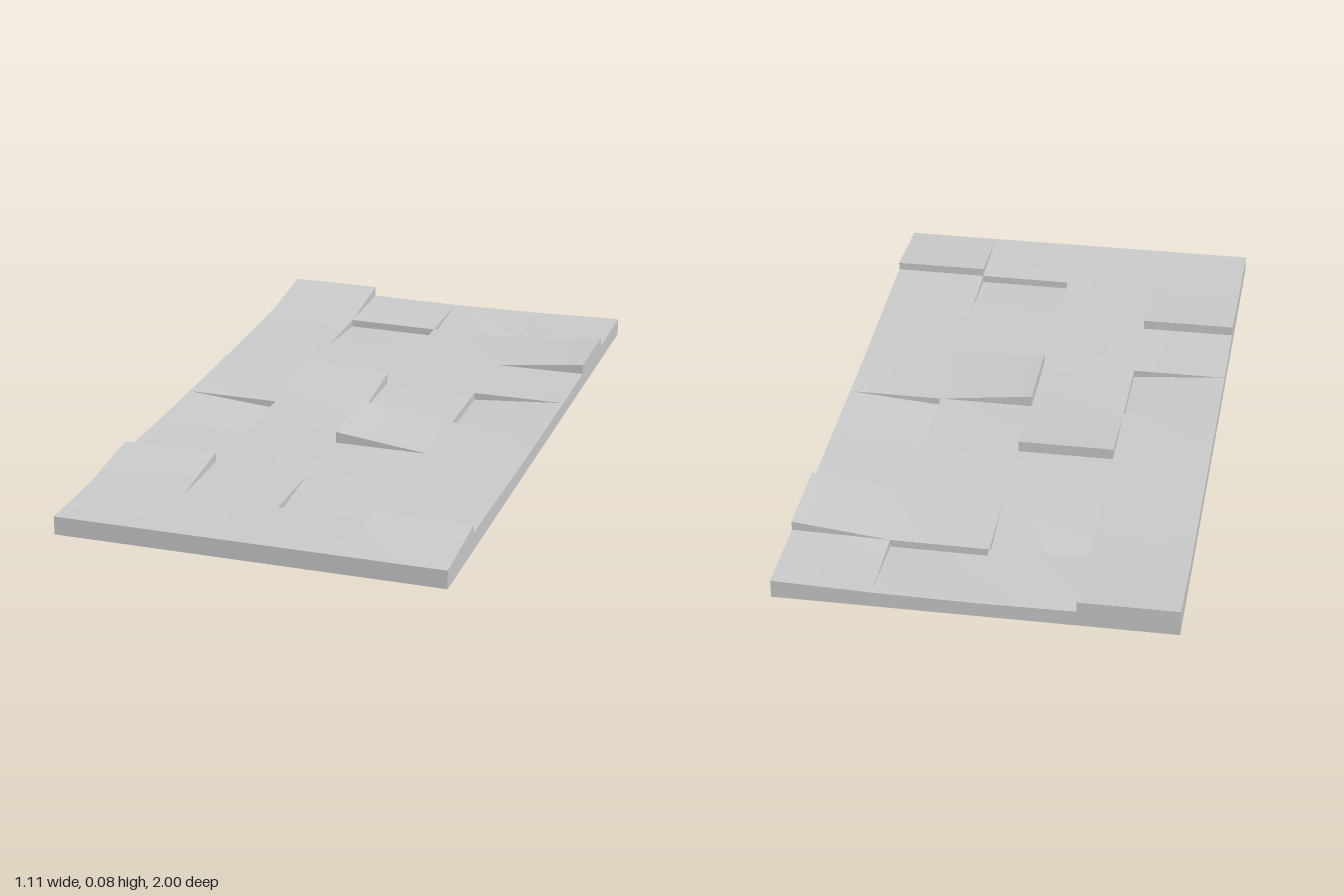
import * as THREE from 'three';
import { toCreasedNormals } from 'three/addons/utils/BufferGeometryUtils.js';

const COLS = 4, ROWS = 8, HALF_W = 0.553, HALF_L = 1;
const TOP = 0.053, RAISED = 0.075, DROP = 0.022;

const gridX = (c) => -HALF_W + (c / COLS) * 2 * HALF_W;
const gridZ = (r) => -HALF_L + (r / ROWS) * 2 * HALF_L;

// Slightly worn, dished surface: the corners and the front edge stay high
function baseHeight(c, r) {
  const x = gridX(c) / HALF_W, z = gridZ(r);
  const fade = Math.min(1, (1 - z) / 0.75);
  return TOP - 0.011 * (1 - x * x * z * z) * fade;
}

// Tilted stones: column, row, the edge that moves, and up (1) or down (-1)
const TILTED = [
  [0, 0, 'back', 1], [2, 0, 'front', -1], [1, 1, 'back', -1], [3, 1, 'right', 1],
  [1, 3, 'back', 1], [3, 3, 'left', -1], [0, 4, 'right', -1], [2, 4, 'left', 1],
  [0, 6, 'back', 1], [2, 6, 'front', -1], [3, 7, 'back', 1],
];

// Corners of a cell run 0 back-left, 1 back-right, 2 front-right, 3 front-left
const CORNERS = [[0, 0], [1, 0], [1, 1], [0, 1]];
const EDGES = { back: [0, 1], right: [1, 2], front: [2, 3], left: [3, 0] };

function cellHeights(c, r) {
  const h = CORNERS.map(([i, j]) => baseHeight(c + i, r + j));
  for (const [tc, tr, edge, dir] of TILTED) {
    if (tc !== c || tr !== r) continue;
    for (const k of EDGES[edge]) h[k] = dir > 0 ? RAISED : h[k] - DROP;
  }
  return h;
}

function makeMesh(name, points, material) {
  const geometry = new THREE.BufferGeometry();
  geometry.setAttribute('position', new THREE.Float32BufferAttribute(points, 3));
  const mesh = new THREE.Mesh(toCreasedNormals(geometry, Math.PI / 6), material);
  mesh.name = name;
  return mesh;
}

// Adds a triangle unless it has collapsed to a line
function addTriangle(out, a, b, c) {
  const [p, q, s] = [a, b, c].map((v) => new THREE.Vector3(...v));
  if (q.sub(p).cross(s.sub(p)).length() > 1e-7) out.push(...a, ...b, ...c);
}

function addQuad(out, a, b, c, d) {
  addTriangle(out, a, b, c);
  addTriangle(out, a, c, d);
}

// Vertical wall from p to q between two heights at each end
function addWall(out, p, q, low, high) {
  addQuad(out, [p[0], low[0], p[1]], [q[0], low[1], q[1]],
    [q[0], high[1], q[1]], [p[0], high[0], p[1]]);
}

export function createModel() {
  const material = new THREE.MeshStandardMaterial({ color: 0xcccccc, side: THREE.DoubleSide });
  const paving = [], steps = [], skirt = [];
  const corner = (c, r, k) => [gridX(c + CORNERS[k][0]), gridZ(r + CORNERS[k][1])];

  for (let c = 0; c < COLS; c++) {
    for (let r = 0; r < ROWS; r++) {
      const h = cellHeights(c, r);
      const p = CORNERS.map((_, k) => corner(c, r, k));
      const v = p.map(([x, z], k) => [x, h[k], z]);

      // Top of the stone
      addQuad(paving, v[0], v[3], v[2], v[1]);

      // Step walls to the neighbours on the right and in front
      if (c < COLS - 1) {
        const n = cellHeights(c + 1, r);
        addWall(steps, p[2], p[1], [n[3], n[0]], [h[2], h[1]]);
      }
      if (r < ROWS - 1) {
        const n = cellHeights(c, r + 1);
        addWall(steps, p[3], p[2], [n[0], n[1]], [h[3], h[2]]);
      }

      // Outer sides down to the ground; the underside stays open
      const outer = { back: r === 0, front: r === ROWS - 1, left: c === 0, right: c === COLS - 1 };
      for (const [edge, [a, b]] of Object.entries(EDGES)) {
        if (outer[edge]) addWall(skirt, p[b], p[a], [0, 0], [h[b], h[a]]);
      }
    }
  }

  const group = new THREE.Group();
  group.name = 'unevenPavingSlab';
  group.add(
    makeMesh('pavingStones', paving, material),
    makeMesh('stoneSteps', steps, material),
    makeMesh('slabSides', skirt, material),
  );
  return group;
}
